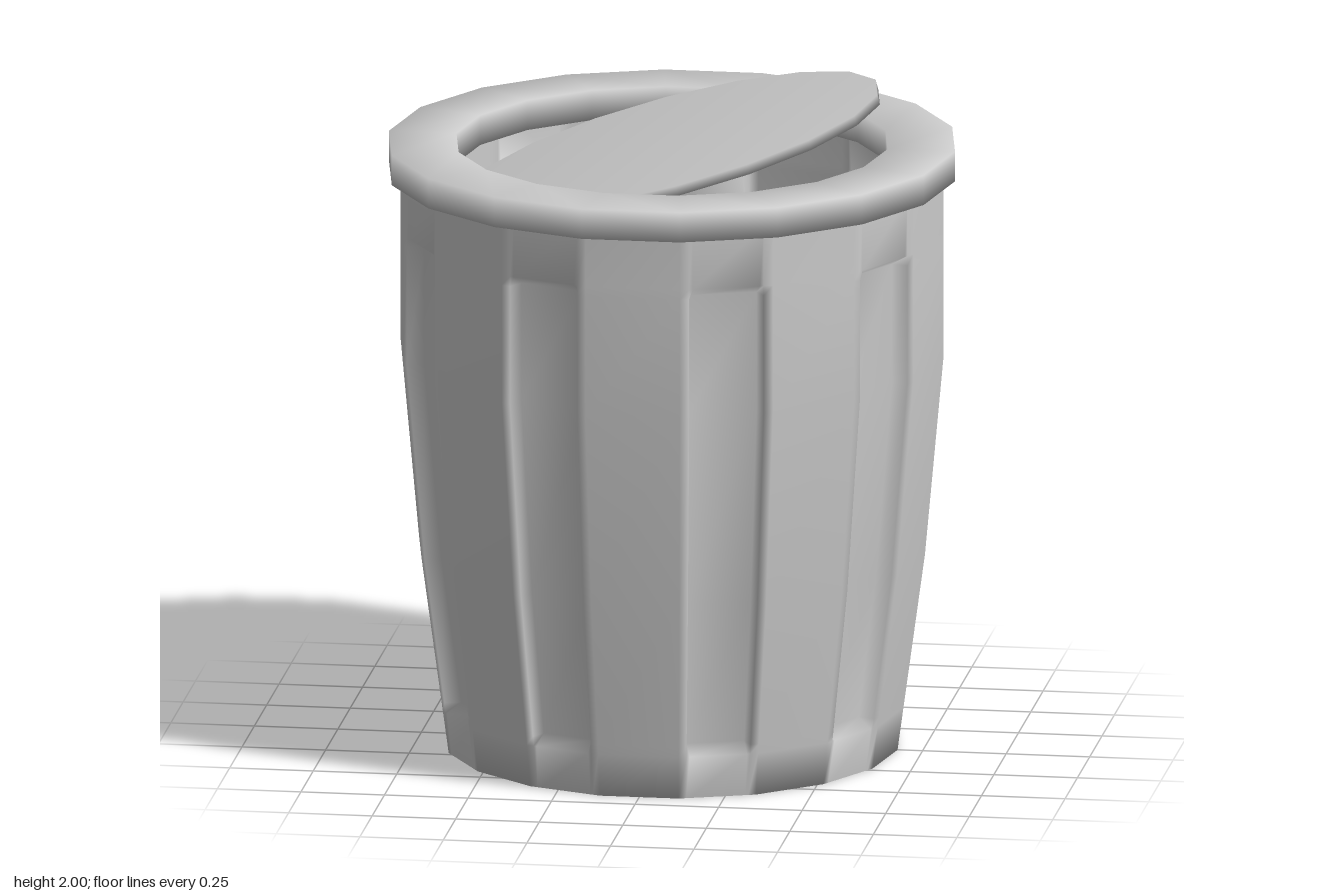
import * as THREE from 'three';
import { mergeVertices } from 'three/addons/utils/BufferGeometryUtils.js';

const SIDES = 18, STEP = (Math.PI * 2) / SIDES;

// Weld all shared corners so the shading runs smoothly over every edge.
function weld(geometry) {
  geometry.deleteAttribute('normal');
  geometry.deleteAttribute('uv');
  const welded = mergeVertices(geometry, 1e-4);
  welded.computeVertexNormals();
  return welded;
}

function addMesh(group, name, geometry, side = THREE.FrontSide) {
  const mesh = new THREE.Mesh(geometry, new THREE.MeshStandardMaterial({ color: 0xcccccc, side }));
  mesh.name = name;
  group.add(mesh);
  return mesh;
}

// Wall radius by height: straight at the top, tapering towards the base.
const PROFILE = [[0, 0.675], [0.6, 0.757], [1.2, 0.812], [1.76, 0.812]];
function radiusAt(y) {
  let i = 0;
  while (i < PROFILE.length - 2 && y > PROFILE[i + 1][0]) i++;
  const [y0, r0] = PROFILE[i], [y1, r1] = PROFILE[i + 1];
  return r0 + ((y - y0) / (y1 - y0)) * (r1 - r0);
}

// Wall of flat panels; every second panel has a sunken groove.
function bodyGeometry() {
  const rows = [0, 0.13, 0.16, 0.6, 1.2, 1.56, 1.59, 1.76];
  const grooveColumns = [0, 0.1, 0.14, 0.86, 0.9, 1];
  const depth = 0.05;
  const positions = [];
  const triangle = (...points) => points.forEach((p) => positions.push(p.x, p.y, p.z));

  for (let i = 0; i < SIDES; i++) {
    const a = i * STEP, b = a + STEP, mid = a + STEP / 2;
    const columns = i % 2 ? grooveColumns : [0, 1];
    const point = (c, r) => {
      const y = rows[r], radius = radiusAt(y), u = columns[c];
      const sunk = columns.length > 2 && (c === 2 || c === 3) && r >= 2 && r <= 5 ? depth : 0;
      return new THREE.Vector3(
        radius * THREE.MathUtils.lerp(Math.cos(a), Math.cos(b), u) - sunk * Math.cos(mid),
        y,
        radius * THREE.MathUtils.lerp(Math.sin(a), Math.sin(b), u) - sunk * Math.sin(mid)
      );
    };
    const last = columns.length - 1;
    for (let r = 0; r < rows.length - 1; r++) {
      for (let c = 0; c < last; c++) {
        const p = point(c, r), q = point(c + 1, r), s = point(c + 1, r + 1), t = point(c, r + 1);
        triangle(p, t, q);
        triangle(q, t, s);
      }
    }
    // Base wedge
    triangle(new THREE.Vector3(), point(0, 0), point(last, 0));
  }
  const geometry = new THREE.BufferGeometry();
  geometry.setAttribute('position', new THREE.Float32BufferAttribute(positions, 3));
  return weld(geometry);
}

export function createModel() {
  const model = new THREE.Group();
  model.name = 'bin';

  addMesh(model, 'body', bodyGeometry(), THREE.DoubleSide);

  // Square-section ring around the opening
  const section = [[0.847, 1.745], [0.847, 1.836], [0.645, 1.836], [0.645, 1.745], [0.847, 1.745]]
    .map(([x, y]) => new THREE.Vector2(x, y));
  addMesh(model, 'rim', weld(new THREE.LatheGeometry(section, SIDES, Math.PI / 2)));

  // Swing lid, tilted about the front-to-back axis
  const disc = new THREE.CylinderGeometry(0.64, 0.64, 0.03, SIDES, 1, false, Math.PI / 2);
  const lid = addMesh(model, 'lid', weld(disc));
  lid.position.set(0, 1.82, 0);
  lid.rotation.z = THREE.MathUtils.degToRad(15);

  return model;
}
